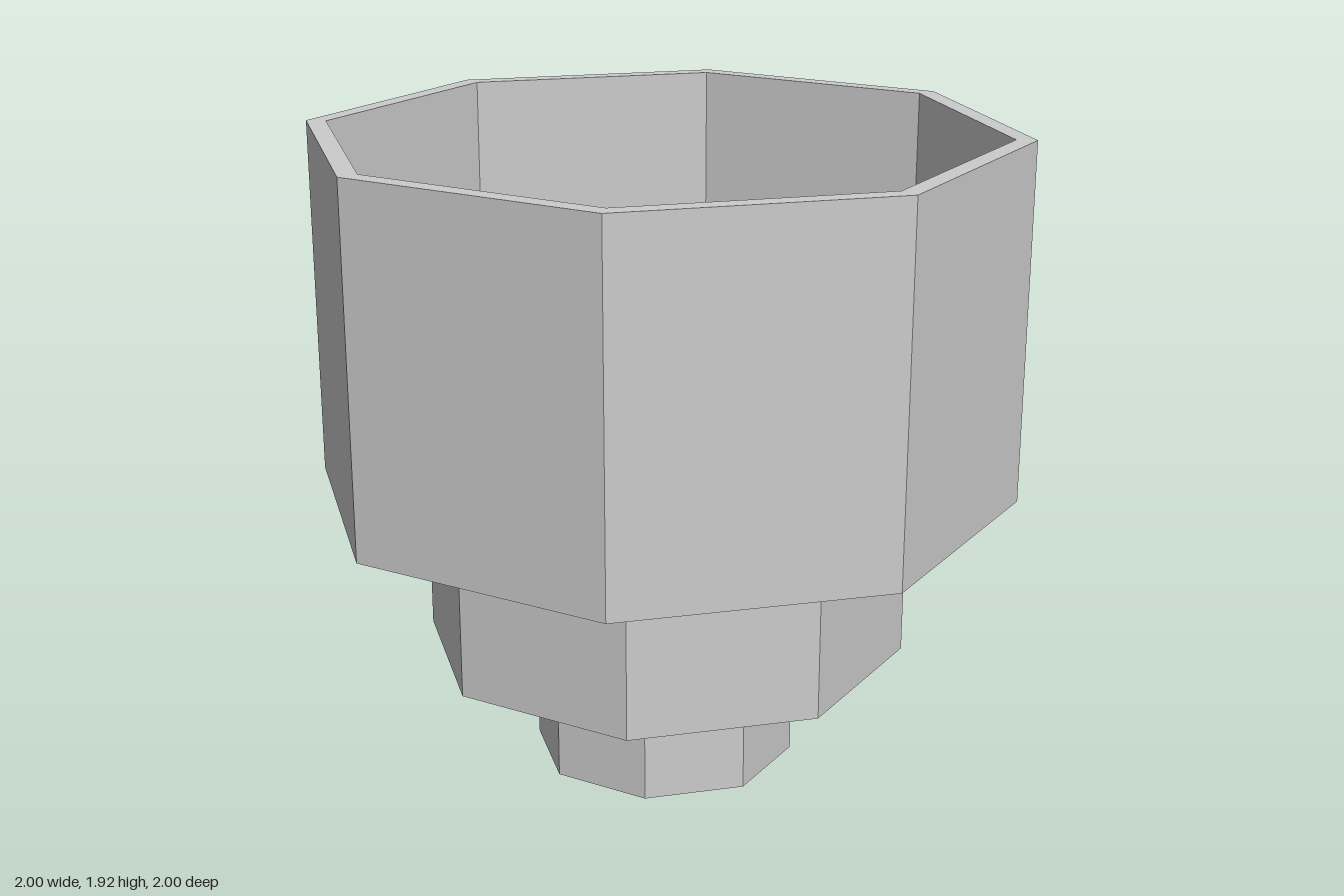
import * as THREE from 'three';

const material = new THREE.MeshStandardMaterial({ color: 0xcccccc, flatShading: true });

function add(group, geometry, name) {
  const mesh = new THREE.Mesh(geometry, material);
  mesh.name = name;
  group.add(mesh);
  return mesh;
}

// Eight-sided turned part, corners on the x and z axes; profile runs bottom to top
function octagonal(profile) {
  return new THREE.LatheGeometry(profile.map(([r, y]) => new THREE.Vector2(r, y)), 8).toNonIndexed();
}

const solid = (r, y0, y1) => octagonal([[0, y0], [r, y0], [r, y1], [0, y1]]);
const cup = (r, inner, y0, y1, floor) =>
  octagonal([[0, y0], [r, y0], [r, y1], [inner, y1], [inner, floor], [0, floor]]);

export function createModel() {
  const model = new THREE.Group();
  model.name = 'steppedBowl';

  // Stepped body
  add(model, solid(0.377, 0.09, 0.43), 'base');
  add(model, solid(0.693, 0.43, 0.9), 'middleTier');
  add(model, cup(1, 0.943, 0.9, 1.92, 0.955), 'bowl');

  // Cranked arm, drawn in profile and extruded across z
  const halfWidth = 0.045;
  const profile = new THREE.Shape([
    [-0.34, 0.1], [-0.34, 0.205], [-0.66, 0.205], [-0.86, 0.115],
    [-0.875, 0.115], [-0.875, 0], [-0.86, 0], [-0.66, 0.1],
  ].map(([x, y]) => new THREE.Vector2(x, y)));
  const arm = new THREE.ExtrudeGeometry(profile, { depth: halfWidth * 2, bevelEnabled: false });
  arm.translate(0, 0, -halfWidth);
  add(model, arm, 'arm');

  // Small cup at the end of the arm
  add(model, cup(0.064, 0.045, 0, 0.115, 0.02), 'armCup').position.x = -0.92;

  return model;
}
